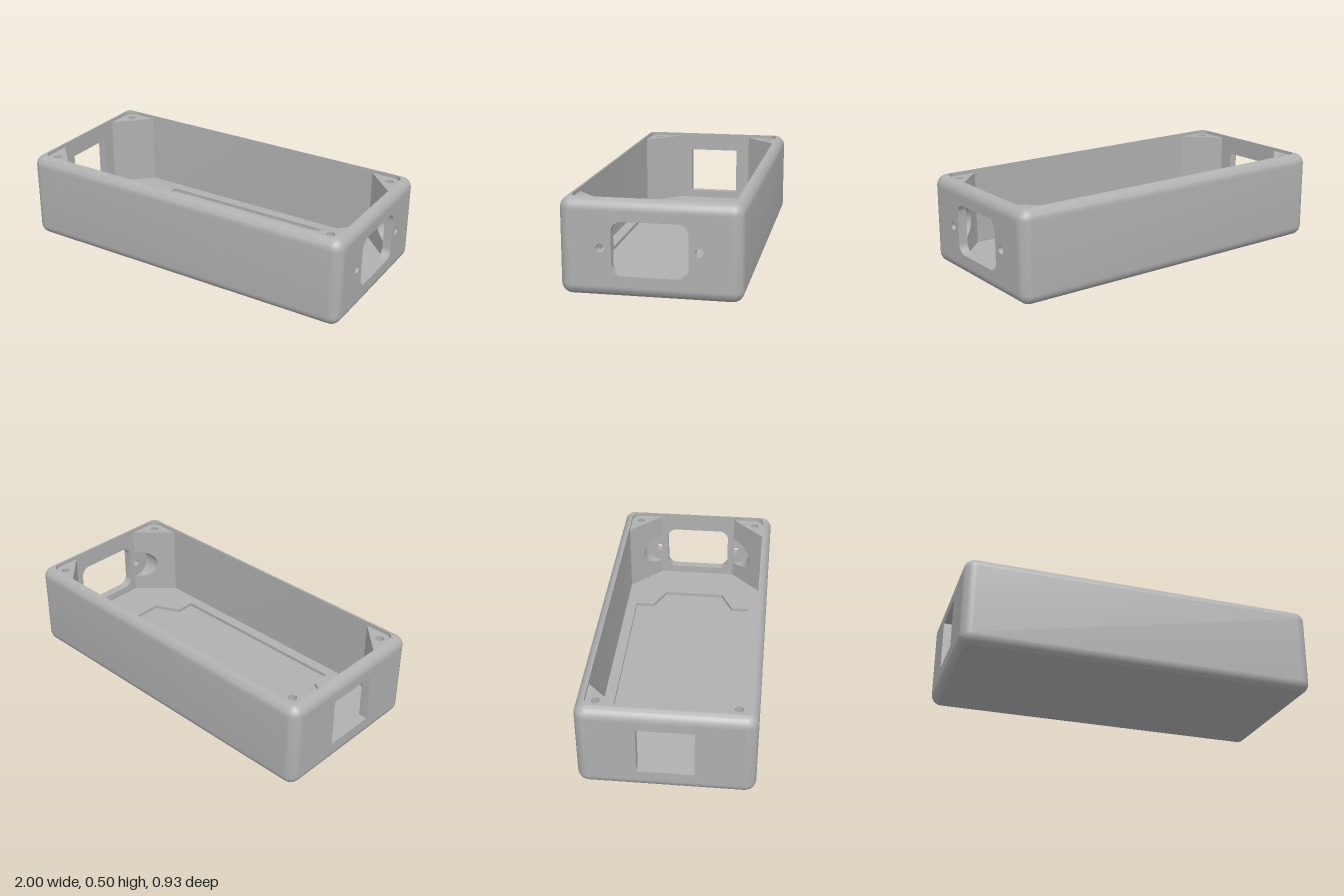
import * as THREE from 'three';
import { toCreasedNormals } from 'three/addons/utils/BufferGeometryUtils.js';

const HX = 1, HZ = 0.467, H = 0.5, R = 0.06, WALL = 0.05;
const IX = HX - WALL, IZ = HZ - WALL;
const FLOOR = 0.065, RECESS = 0.045, POST_TOP = 0.48, SEG = 8;

const grey = new THREE.MeshStandardMaterial({ color: 0xb0b0b0, side: THREE.DoubleSide });
grey.name = 'grey plastic';

// Skins a list of equal-length rings; skip(row, col) leaves openings
function loft(rings, closed = true, skip = () => false) {
  const n = rings[0].length, index = [];
  for (let i = 0; i < rings.length - 1; i++)
    for (let j = 0; j < (closed ? n : n - 1); j++) {
      if (skip(i, j)) continue;
      const a = i * n + j, b = i * n + (j + 1) % n;
      index.push(a, a + n, b, b, a + n, b + n);
    }
  const g = new THREE.BufferGeometry().setFromPoints(rings.flat());
  g.setIndex(index);
  return toCreasedNormals(g, 0.6);
}

// Horizontal rounded rectangle, starting at the +x side
function ring(hx, hz, r, y) {
  const pts = [];
  for (let k = 0; k < 4; k++) {
    const sx = k === 0 || k === 3 ? 1 : -1, sz = k < 2 ? 1 : -1;
    for (let i = 0; i <= SEG; i++) {
      const a = (k + i / SEG) * Math.PI / 2;
      pts.push(new THREE.Vector3(sx * (hx - r) + r * Math.cos(a), y, sz * (hz - r) + r * Math.sin(a)));
    }
  }
  return pts;
}

const poly = (pts) => new THREE.Shape(pts.map(([x, y]) => new THREE.Vector2(x, y)));
const rect = (x0, x1, y0, y1) => poly([[x0, y0], [x1, y0], [x1, y1], [x0, y1]]);
const circle = (x, y, r) => new THREE.Shape().absarc(x, y, r, 0, Math.PI * 2);
const roundRect = (hx, y0, y1, r) => {
  const s = new THREE.Shape();
  s.absarc(hx - r, y0 + r, r, -Math.PI / 2, 0);
  s.absarc(hx - r, y1 - r, r, 0, Math.PI / 2);
  s.absarc(-hx + r, y1 - r, r, Math.PI / 2, Math.PI);
  s.absarc(-hx + r, y0 + r, r, Math.PI, Math.PI * 1.5);
  return s;
};

// Flat faces: shape drawn in (z, y) at a given x, or in (x, z) at a given y
function face(shape, holes = []) {
  const s = shape.clone();
  s.holes = holes;
  return new THREE.ShapeGeometry(s, 24);
}
const endFace = (shape, x, holes) => face(shape, holes).rotateY(-Math.PI / 2).translate(x, 0, 0);
const levelFace = (shape, y, holes) => face(shape, holes).rotateX(Math.PI / 2).translate(0, y, 0);

// Side walls of a hole through the same two kinds of face
const endTunnel = (shape, x0, x1) =>
  loft([x0, x1].map((x) => shape.getPoints(24).map((p) => new THREE.Vector3(x, p.y, p.x))));
const levelTunnel = (shape, y0, y1) =>
  loft([y0, y1].map((y) => shape.getPoints(24).map((p) => new THREE.Vector3(p.x, y, p.y))));

export function createModel() {
  const model = new THREE.Group();
  model.name = 'enclosure';
  const add = (name, geometry, parent = model) => {
    const m = new THREE.Mesh(geometry, grey);
    m.name = name;
    parent.add(m);
    return m;
  };

  // Outer skin: rounded underside, straight sides, rounded rim cut by the cavity
  const lowAngle = Math.acos(1 - 0.034 / R), topAngle = Math.acos(1 - WALL / R);
  const yLow = R * Math.sin(lowAngle), yHigh = H - R * Math.sin(topAngle);
  const rings = [];
  const arcRow = (t, y) => {
    const inset = R * (1 - Math.cos(t));
    rings.push(ring(HX - inset, HZ - inset, R - inset, y + R * Math.sin(t)));
  };
  for (let i = 0; i <= SEG; i++) arcRow(-lowAngle * (1 - i / SEG), yLow);
  for (let i = 0; i <= SEG; i++) arcRow(topAngle * i / SEG, yHigh);
  rings.push(ring(IX, IZ, 0.05, H));
  const isEnd = (j) => j === 4 * (SEG + 1) - 1 || j === 2 * (SEG + 1) - 1;
  add('outerShell', loft(rings, true, (i, j) => i === SEG && isEnd(j)));
  add('underside', levelFace(poly(rings[0].map((p) => [p.x, p.z])), 0));

  // Cavity walls
  const inner = [H, FLOOR].map((y) => ring(IX, IZ, 0.05, y));
  add('innerWalls', loft(inner, true, (i, j) => isEnd(j)));

  // End walls with their openings
  const ends = [
    ['leftEnd', 1, [roundRect(0.195, 0.11, 0.39, 0.056), circle(0.25, 0.25, 0.0225), circle(-0.25, 0.25, 0.0225)]],
    ['rightEnd', -1, [rect(-0.15, 0.15, 0.11, 0.39)]],
  ];
  for (const [name, side, holes] of ends) {
    const g = new THREE.Group();
    g.name = name;
    model.add(g);
    add(name + 'Outside', endFace(rect(-HZ + R, HZ - R, yLow, yHigh), side * HX, holes), g);
    add(name + 'Inside', endFace(rect(-IZ + 0.05, IZ - 0.05, FLOOR, H), side * IX, holes), g);
    holes.forEach((h, i) => add(name + 'Opening' + (i + 1), endTunnel(h, side * IX, side * HX), g));
  }

  // Floor with a stepped shallow recess
  const quarter = [[0.7, 0.18], [0.56, 0.25], [0.56, 0.357]];
  const flip = (sx, sz) => quarter.map(([x, z]) => [sx * x, sz * z]);
  const recess = poly([...flip(1, 1), ...flip(-1, 1).reverse(), ...flip(-1, -1), ...flip(1, -1).reverse()]);
  add('floor', levelFace(poly(inner[1].map((p) => [p.x, p.z])), FLOOR, [recess]));
  add('recessWalls', levelTunnel(recess, RECESS, FLOOR));
  add('recessFloor', levelFace(recess, RECESS));

  // Corner screw posts; those at the inlet end have a round clearance for its screws
  const zStart = 0.232, cutR = 0.09;
  const postRow = (y, z) => [
    new THREE.Vector3(IX, y, z),
    new THREE.Vector3(IX - (z - zStart), y, z),
    new THREE.Vector3(IX - (IZ - zStart), y, IZ),
  ];
  const bore = circle(0.892, 0.363, 0.0225);
  const top = poly([
    [IX, zStart], [IX, IZ - 0.05], [IX - 0.015, IZ - 0.015], [IX - 0.05, IZ], [IX - IZ + zStart, IZ],
  ]);
  for (const sx of [1, -1]) for (const sz of [1, -1]) {
    const post = new THREE.Group();
    post.name = (sz > 0 ? 'front' : 'back') + (sx > 0 ? 'Left' : 'Right') + 'Post';
    post.scale.set(sx, 1, sz);
    model.add(post);
    const rows = [postRow(FLOOR, zStart)];
    if (sx > 0) {
      rows.push(postRow(0.25 - cutR, zStart));
      for (let i = 0; i <= 20; i++) {
        const a = Math.PI * (i / 20 - 0.5);
        rows.push(postRow(0.25 + cutR * Math.sin(a), 0.25 + cutR * Math.cos(a)));
      }
      rows.push(postRow(0.25 + cutR, zStart));
    }
    rows.push(postRow(POST_TOP, zStart));
    add('postSides', loft(rows, false), post);
    add('postTop', levelFace(top, POST_TOP, [bore]), post);
    add('screwBore', levelTunnel(bore, 0.1, POST_TOP), post);
    add('boreBottom', levelFace(bore, 0.1), post);
  }
  return model;
}
